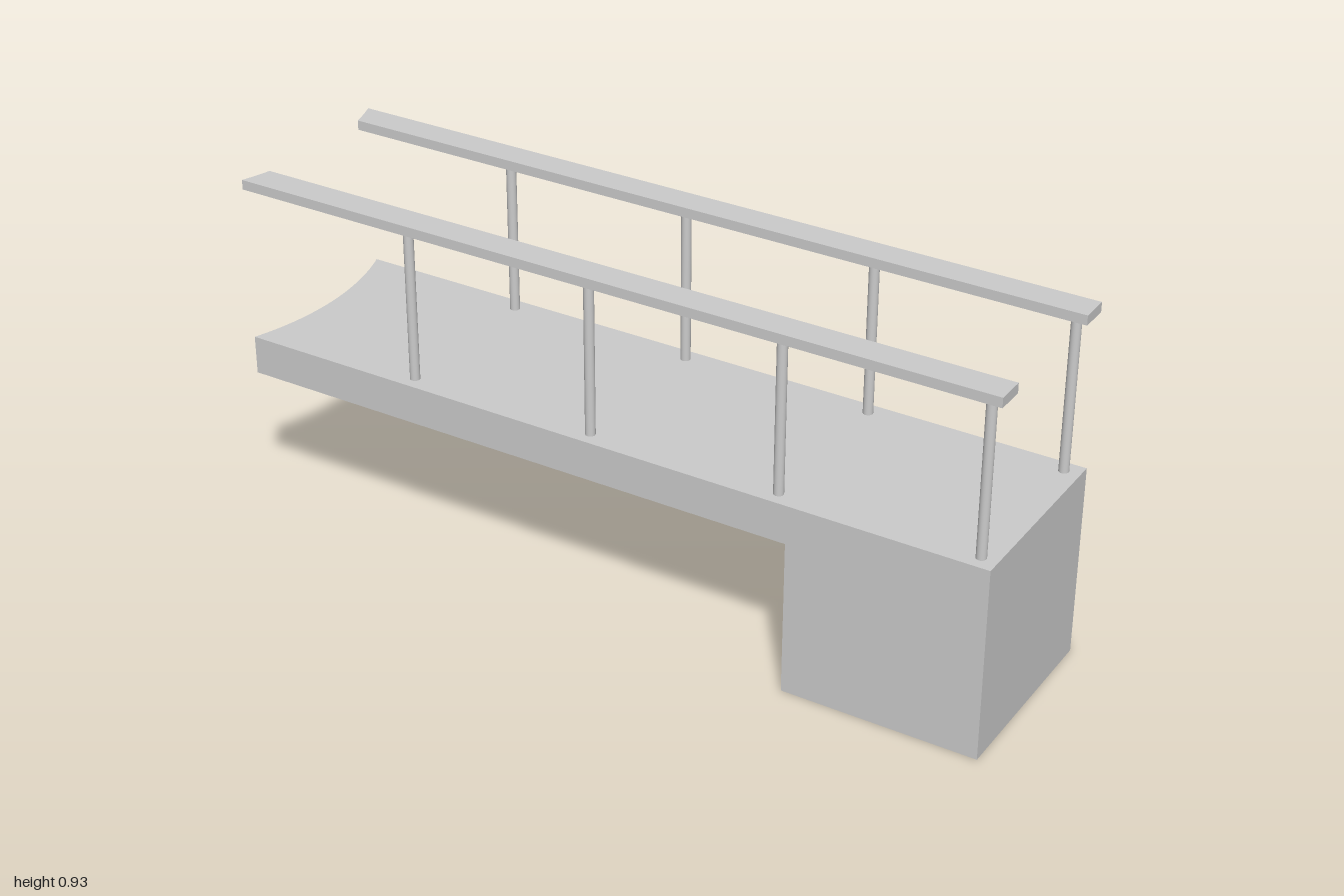
import * as THREE from 'three';
import { toCreasedNormals } from 'three/addons/utils/BufferGeometryUtils.js';

const ARC_X = -1.654, ARC_R = 0.7; // arc cutting the free end of deck and rails

// Slab between y0 and y1, z0 and z1, whose -x end is hollowed by the arc
function curvedSlab(xEnd, z0, z1, y0, y1) {
  const shape = new THREE.Shape();
  shape.moveTo(xEnd, -z1);
  shape.lineTo(xEnd, -z0);
  shape.absarc(ARC_X, 0, ARC_R, Math.asin(-z0 / ARC_R), Math.asin(-z1 / ARC_R), true);
  shape.closePath();
  const geo = new THREE.ExtrudeGeometry(shape, { depth: y1 - y0, bevelEnabled: false, curveSegments: 16 });
  geo.rotateX(-Math.PI / 2).translate(0, y0, 0);
  return toCreasedNormals(geo, 0.5);
}

export function createModel() {
  const model = new THREE.Group();
  model.name = 'footbridge';
  const material = new THREE.MeshStandardMaterial({ color: 0xcccccc });

  const add = (name, geometry, x = 0, y = 0, z = 0) => {
    const mesh = new THREE.Mesh(geometry, material);
    mesh.name = name;
    mesh.position.set(x, y, z);
    model.add(mesh);
  };

  // Abutment block and the walkway reaching out from it
  add('abutment', new THREE.BoxGeometry(0.5, 0.5, 0.5), 0.75, 0.25, 0);
  add('deck', curvedSlab(0.5, -0.25, 0.25, 0.4, 0.5));

  // Handrails
  add('leftRail', curvedSlab(1, -0.25, -0.175, 0.9, 0.925));
  add('rightRail', curvedSlab(1, 0.175, 0.25, 0.9, 0.925));

  // Round posts
  const post = new THREE.CylinderGeometry(0.0125, 0.0125, 0.4, 24);
  for (const z of [-0.2125, 0.2125]) {
    for (let i = 0; i < 4; i++) add('railPost', post, -0.54 + i * 0.5, 0.7, z);
  }
  return model;
}
